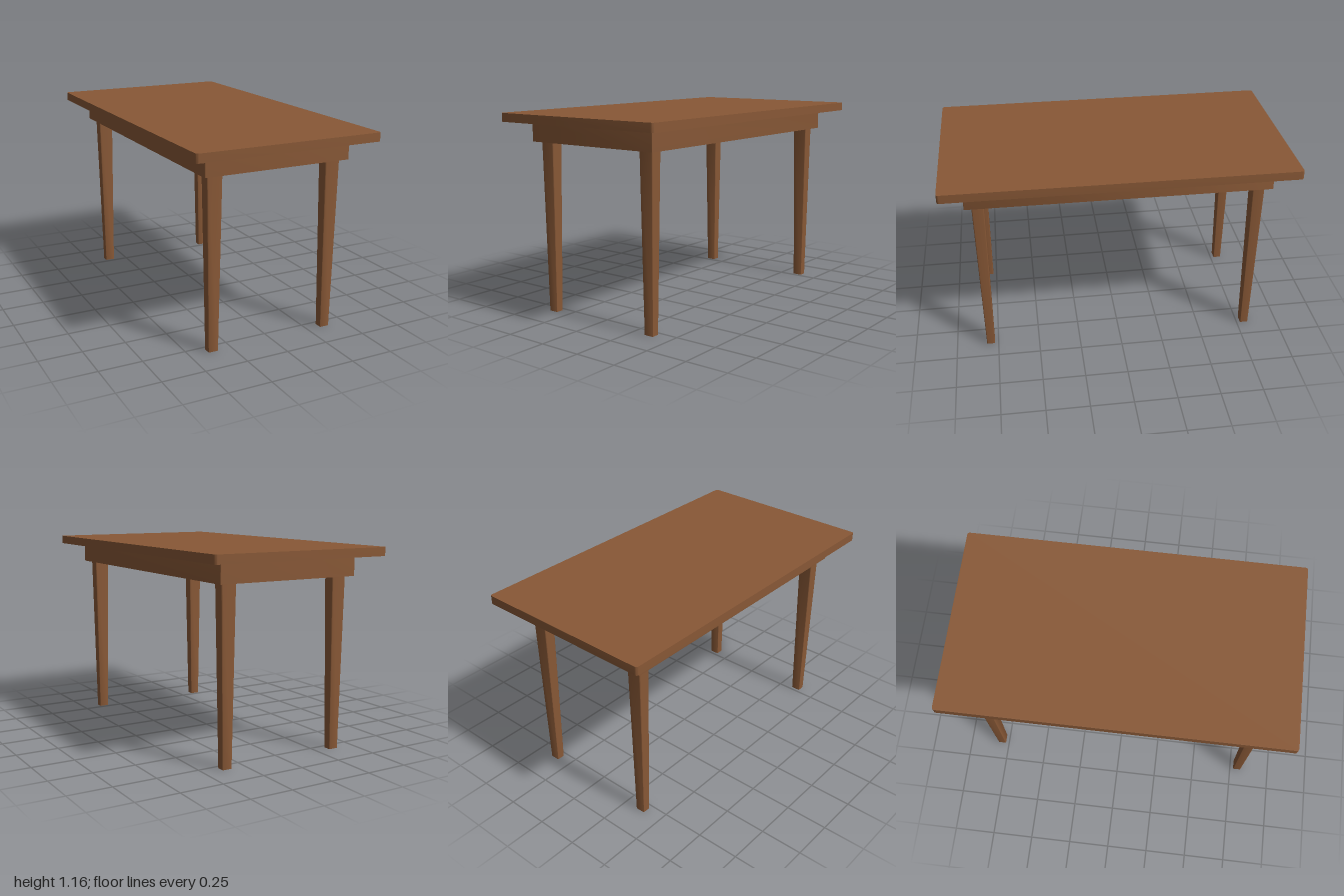
import * as THREE from 'three';
import { toCreasedNormals } from 'three/addons/utils/BufferGeometryUtils.js';

// Upright slab with rounded vertical corners; its bottom can be narrower than its top
function roundedSlab(width, depth, height, radius, taperX = 1, taperZ = 1) {
  const x = width / 2, z = depth / 2, r = radius;
  const shape = new THREE.Shape();
  shape.moveTo(-x + r, -z);
  shape.lineTo(x - r, -z);
  shape.quadraticCurveTo(x, -z, x, -z + r);
  shape.lineTo(x, z - r);
  shape.quadraticCurveTo(x, z, x - r, z);
  shape.lineTo(-x + r, z);
  shape.quadraticCurveTo(-x, z, -x, z - r);
  shape.lineTo(-x, -z + r);
  shape.quadraticCurveTo(-x, -z, -x + r, -z);
  const geometry = new THREE.ExtrudeGeometry(shape, { depth: height, bevelEnabled: false, curveSegments: 3 });
  geometry.rotateX(-Math.PI / 2);
  const p = geometry.attributes.position;
  for (let i = 0; i < p.count; i++) {
    const t = p.getY(i) / height;
    p.setX(i, p.getX(i) * THREE.MathUtils.lerp(taperX, 1, t));
    p.setZ(i, p.getZ(i) * THREE.MathUtils.lerp(taperZ, 1, t));
  }
  return toCreasedNormals(geometry, Math.PI / 3);
}

export function createModel() {
  const table = new THREE.Group();
  table.name = 'table';
  const wood = new THREE.MeshStandardMaterial({ color: 0x885836 });
  wood.name = 'brown wood';

  const add = (name, geometry, x, y, z) => {
    const mesh = new THREE.Mesh(geometry, wood);
    mesh.name = name;
    mesh.position.set(x, y, z);
    table.add(mesh);
  };

  // Top board and the solid apron under it
  add('tableTop', roundedSlab(1.1, 2, 0.05, 0.015), 0, 1.115, 0);
  add('apron', roundedSlab(0.88, 1.74, 0.115, 0.006), 0, 1, 0);

  // Four tapered legs
  const leg = roundedSlab(0.089, 0.069, 1, 0.006, 0.64, 0.7);
  for (const [side, x] of [['Left', 0.362], ['Right', -0.362]]) {
    for (const [end, z] of [['front', 0.796], ['back', -0.796]]) {
      add(`${end}${side}Leg`, leg, x, 0, z);
    }
  }
  return table;
}
